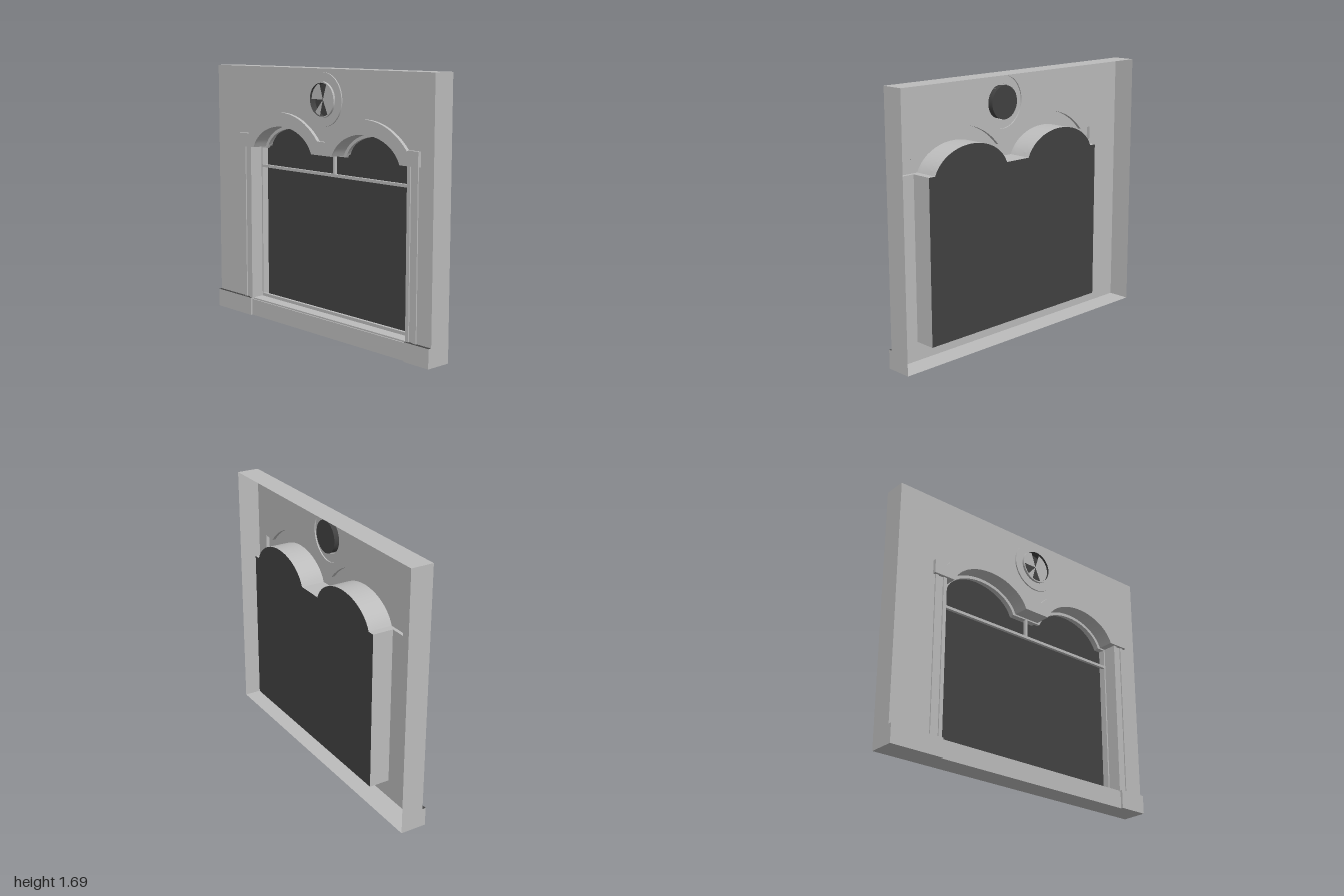
import * as THREE from 'three';
import { toCreasedNormals } from 'three/addons/utils/BufferGeometryUtils.js';

export function createModel() {
  const model = new THREE.Group();
  const stone = new THREE.MeshStandardMaterial({ color: 0xbcbcbc, side: THREE.DoubleSide });
  stone.name = 'light grey stone';
  const dark = new THREE.MeshStandardMaterial({ color: 0x424242, side: THREE.DoubleSide });
  dark.name = 'dark glass';

  const CX = 0.08, WALL = 0.062, BACK = -0.085, FACE = 0.085, GLASS = -0.075;

  function add(name, geometry, material = stone) {
    const mesh = new THREE.Mesh(geometry, material);
    mesh.name = name;
    model.add(mesh);
    return mesh;
  }
  function box(name, x0, x1, y0, y1, z0, z1, material) {
    const mesh = add(name, new THREE.BoxGeometry(x1 - x0, y1 - y0, z1 - z0), material);
    mesh.position.set((x0 + x1) / 2, (y0 + y1) / 2, (z0 + z1) / 2);
  }
  const V = (x, y) => new THREE.Vector2(x, y);
  const outline = (points, ...holes) => {
    const shape = new THREE.Shape(points);
    shape.holes = holes.map((h) => new THREE.Path(h));
    return shape;
  };
  // flat face at depth z
  const plate = (shape, z) => new THREE.ShapeGeometry(shape).translate(0, 0, z);
  // strip that follows a closed outline between two depths
  function rim(points, z0, z1) {
    const pos = [];
    points.forEach((a, i) => {
      const b = points[(i + 1) % points.length];
      pos.push(a.x, a.y, z0, b.x, b.y, z0, b.x, b.y, z1);
      pos.push(a.x, a.y, z0, b.x, b.y, z1, a.x, a.y, z1);
    });
    const g = new THREE.BufferGeometry();
    g.setAttribute('position', new THREE.Float32BufferAttribute(pos, 3));
    g.computeVertexNormals();
    return toCreasedNormals(g, 0.5);
  }
  const circle = (r) => Array.from({ length: 40 }, (_, i) =>
    V(CX + r * Math.cos(i * Math.PI / 20), 1.5 + r * Math.sin(i * Math.PI / 20)));

  // two arches side by side, mirrored about the centre line, left to right
  function twinArch(yc, a, b, yEnd) {
    const t0 = Math.asin((yEnd - yc) / b), n = 20, left = [];
    for (let i = 0; i <= n; i++) {
      const t = Math.PI - t0 - (Math.PI - 2 * t0) * i / n;
      left.push(V(CX - 0.384 + a * Math.cos(t), yc + b * Math.sin(t)));
    }
    return [...left, ...left.map((p) => V(2 * CX - p.x, p.y)).reverse()];
  }
  const outerArch = twinArch(0.944, 0.456, 0.456, 1.24);
  const innerArch = twinArch(1.10, 0.30, 0.21, 1.155);
  const paneArch = twinArch(1.10, 0.278, 0.19, 1.145);

  const crown = [V(-0.74, 1.155), V(-0.74, 1.245), V(-0.66, 1.245), ...outerArch,
    V(0.82, 1.245), V(0.90, 1.245), V(0.90, 1.155)];
  const opening = [V(-0.64, 0.12), V(-0.64, 1.155), ...innerArch, V(0.80, 1.155), V(0.80, 0.12)];
  const pane = [V(-0.63, 0.14), V(-0.63, 1.145), ...paneArch, V(0.79, 1.145), V(0.79, 0.14)];
  const wall = [V(-1, 0), V(1, 0), V(1, 1.69), V(-1, 1.69)];

  // hollow wall, open at the back
  const wallHole = [V(-0.64, 0.12), V(-0.64, 1.155), ...crown, V(0.80, 1.155), V(0.80, 0.12)];
  add('wallFace', plate(outline(wall, wallHole, circle(0.168)), WALL));
  add('wallSides', rim(wall, BACK, WALL));

  // arched moulding over the window
  const moulding = [...crown, ...innerArch.slice().reverse()];
  add('archMoulding', plate(outline(moulding), FACE));
  add('archMouldingEdge', rim(moulding, WALL, FACE));

  // recess, glass, window frame and bars
  add('windowRecess', rim(opening, GLASS, WALL));
  add('windowGlass', plate(outline(opening), GLASS), dark);
  add('windowFrame', new THREE.ExtrudeGeometry(outline(opening, pane),
    { depth: 0.02, bevelEnabled: false }).translate(0, 0, -0.04));
  box('crossBar', -0.63, 0.79, 1.012, 1.03, -0.04, -0.02);
  box('uprightBar', 0.073, 0.09, 1.03, 1.15, -0.04, -0.02);

  // pilaster strips and base blocks
  for (const s of [-1, 1]) {
    for (const [a, b] of [[0.72, 0.745], [0.78, 0.805]]) {
      const x0 = CX + s * a, x1 = CX + s * b;
      box('pilasterStrip', Math.min(x0, x1), Math.max(x0, x1), 0.12, 1.155, WALL, 0.07);
    }
  }
  const blockColours = [stone, stone, dark, stone, stone, stone];
  box('baseBlockRight', -1, -0.64, 0, 0.12, WALL, FACE, blockColours);
  box('baseBlockLeft', 0.805, 1, 0, 0.12, WALL, FACE, blockColours);
  box('basePanel', -0.64, 0.805, 0, 0.11, WALL, 0.07);

  // round vent: stepped rings, dark backing and light fan blades
  add('ventOuterRing', plate(outline(circle(0.168), circle(0.112)), 0.07));
  add('ventOuterEdge', rim(circle(0.168), WALL, 0.07));
  add('ventInnerRing', plate(outline(circle(0.112), circle(0.104)), FACE));
  add('ventInnerEdge', rim(circle(0.112), 0.07, FACE));
  add('ventTube', rim(circle(0.104), 0.04, FACE), dark);
  add('ventBacking', plate(outline(circle(0.106)), 0.04), dark);
  for (const [from, to] of [[-65, 72], [108, 180], [228, 255]]) {
    const start = THREE.MathUtils.degToRad(from), sweep = THREE.MathUtils.degToRad(to - from);
    add('ventBlade', new THREE.CircleGeometry(0.104, 24, start, sweep).translate(CX, 1.5, 0.07));
  }
  return model;
}
